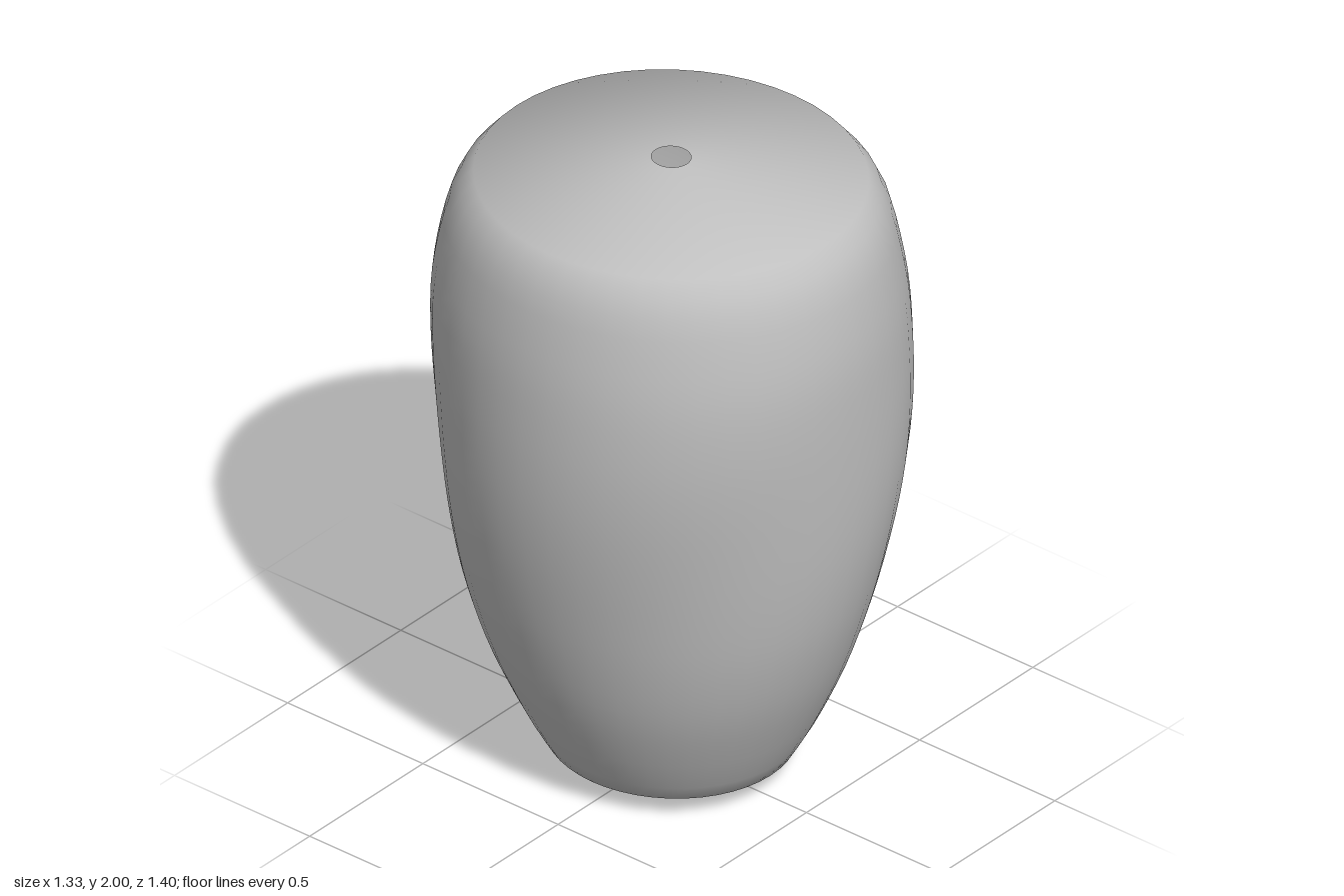
import * as THREE from 'three';

const SIDES = 48;
const WALL_RINGS = 32;
const DEPTH = 1.05; // the body is slightly deeper than wide

export function createModel() {
  const group = new THREE.Group();
  const grey = new THREE.MeshStandardMaterial({ color: 0xbfbfbf, side: THREE.DoubleSide });
  grey.name = 'grey';

  // Wall profile: half width and height
  const wall = new THREE.SplineCurve([
    [0.35, 0.07], [0.42, 0.2], [0.505, 0.4], [0.565, 0.6], [0.607, 0.8], [0.638, 1.0],
    [0.658, 1.2], [0.665, 1.4], [0.656, 1.6], [0.62, 1.8], [0.585, 1.89], [0.545, 1.94],
  ].map(([r, y]) => new THREE.Vector2(r, y))).getSpacedPoints(WALL_RINGS);

  // Shallow end cones with a small open hole at each end
  const profile = [new THREE.Vector2(0.034, 0), ...wall, new THREE.Vector2(0.055, 2)];

  const positions = [];
  const indices = [];
  profile.forEach(({ x: r, y }, i) => {
    // Faint three-lobed swell that twists up the body and fades at both ends
    const swell = 0.012 * Math.sin(Math.PI * y / 2);
    const turn = 0.5 - 1.57 * (y - 1.4);
    for (let j = 0; j < SIDES; j++) {
      const a = j / SIDES * Math.PI * 2;
      const s = r * (1 + swell * Math.cos(3 * (a - turn)));
      positions.push(s * Math.cos(a), y, s * DEPTH * Math.sin(a));
      if (i === 0) continue;
      const next = (j + 1) % SIDES;
      const low = (i - 1) * SIDES;
      const high = i * SIDES;
      indices.push(low + j, high + j, low + next, high + j, high + next, low + next);
    }
  });

  const geometry = new THREE.BufferGeometry();
  geometry.setAttribute('position', new THREE.Float32BufferAttribute(positions, 3));
  geometry.setIndex(indices);
  geometry.computeVertexNormals();

  // Soft rims: the normal lies midway between the wall and the end cone
  const normal = geometry.attributes.normal;
  const tilt = 0.64;
  for (const [ring, up] of [[1, -1], [profile.length - 2, 1]]) {
    for (let j = 0; j < SIDES; j++) {
      const a = j / SIDES * Math.PI * 2;
      normal.setXYZ(ring * SIDES + j,
        Math.sin(tilt) * Math.cos(a), up * Math.cos(tilt), Math.sin(tilt) * Math.sin(a));
    }
  }

  const body = new THREE.Mesh(geometry, grey);
  body.name = 'hollowBody';
  group.add(body);
  return group;
}
